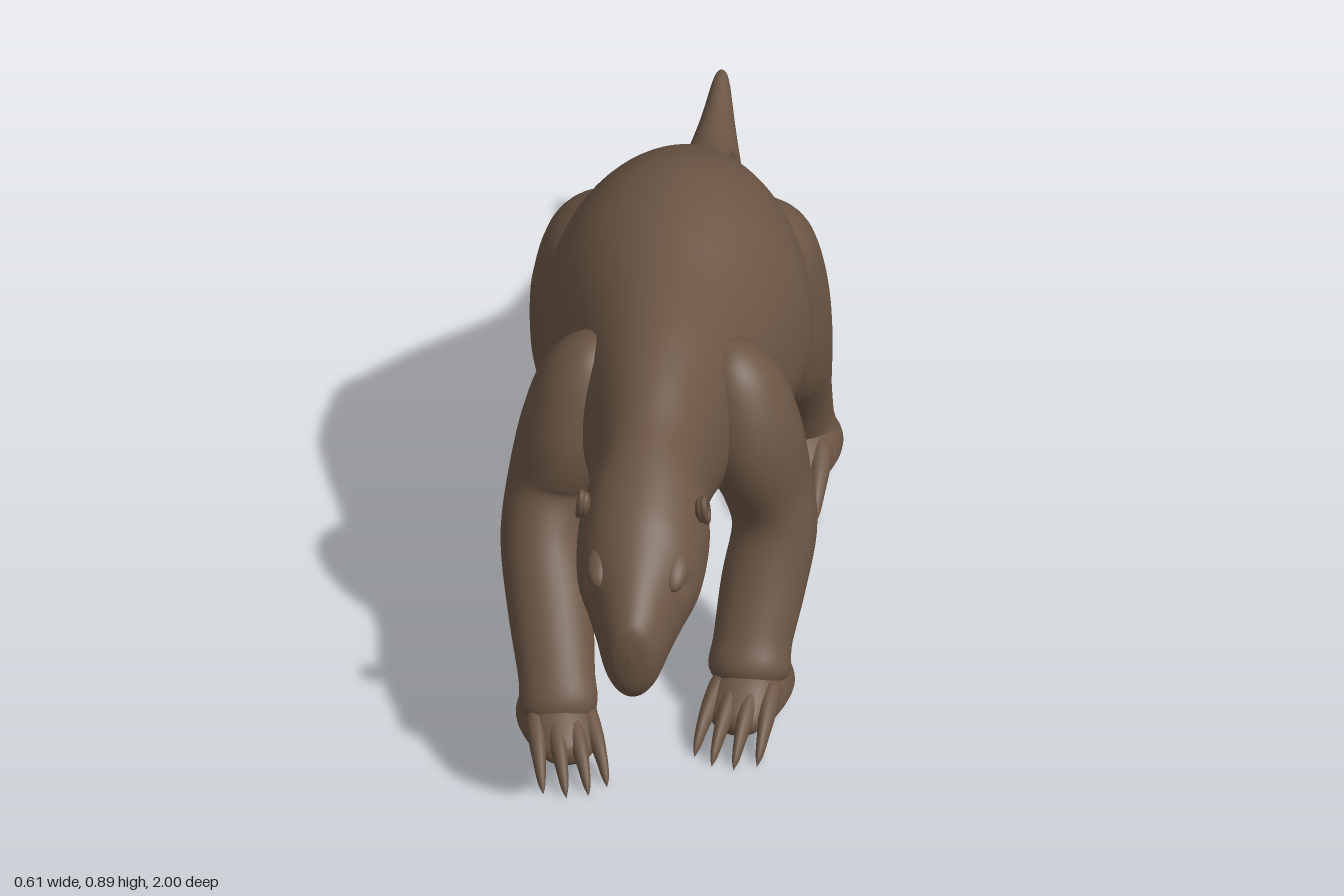
import * as THREE from 'three';

// Smoothly interpolate rows of numbers (uniform Catmull-Rom)
function sample(rows, t) {
  const n = rows.length - 1, f = Math.min(t * n, n - 1e-6), i = Math.floor(f), u = f - i;
  const at = k => rows[Math.max(0, Math.min(n, k))];
  return rows[0].map((_, c) => {
    const [a, b, d, e] = [at(i - 1)[c], at(i)[c], at(i + 1)[c], at(i + 2)[c]];
    return b + 0.5 * u * (d - a + u * (2 * a - 5 * b + 4 * d - e + u * (3 * (b - d) + e - a)));
  });
}

// Closed skin over rings; point(t, angle) gives a Vector3
function loft(steps, sides, point) {
  const pos = [], idx = [];
  for (let i = 0; i <= steps; i++)
    for (let j = 0; j < sides; j++) {
      pos.push(...point(i / steps, (j / sides) * Math.PI * 2).toArray());
      if (i === steps) continue;
      const a = i * sides + j, b = i * sides + (j + 1) % sides;
      idx.push(a, b, b + sides, a, b + sides, a + sides);
    }
  const g = new THREE.BufferGeometry();
  g.setAttribute('position', new THREE.Float32BufferAttribute(pos, 3));
  g.setIndex(idx);
  g.computeVertexNormals();
  return g;
}

// Rows along z: [z, top, bottom, half width, height of widest point 0..1]
function hull(rows, steps, sides, dents = []) {
  return loft(steps, sides, (t, a) => {
    const [z, top, bot, w, f] = sample(rows, t);
    const mid = bot + f * (top - bot), s = Math.sin(a);
    const p = new THREE.Vector3(Math.max(w, 0) * Math.cos(a), mid + s * (s > 0 ? top - mid : mid - bot), z);
    for (const [side, y, dz, r, depth] of dents) {
      if (p.x * side <= 0) continue;
      const d = Math.hypot(p.y - y, p.z - dz) / r;
      p.x -= side * depth * Math.exp(-(d ** 4));
    }
    return p;
  });
}

// Rows along a path: [x, y, z, radius across, radius fore-aft]
function limb(rows, steps = 48, sides = 32) {
  return loft(steps, sides, (t, a) => {
    const [x, y, z, rx, rz] = sample(rows, t);
    const p = sample(rows, Math.max(0, t - 0.02)), q = sample(rows, Math.min(1, t + 0.02));
    const T = new THREE.Vector3(q[0] - p[0], q[1] - p[1], q[2] - p[2]).normalize();
    const X = new THREE.Vector3(1, 0, 0).addScaledVector(T, -T.x).normalize();
    const B = T.clone().cross(X);
    return new THREE.Vector3(x, y, z)
      .addScaledVector(X, Math.max(rx, 0) * Math.cos(a))
      .addScaledVector(B, Math.max(rz, 0) * Math.sin(a));
  });
}

export function createModel() {
  const model = new THREE.Group();
  model.name = 'groundSloth';
  const fur = new THREE.MeshStandardMaterial({ color: 0x6b5544 });
  fur.name = 'brownFur';
  const add = (parent, name, geo) => {
    const m = new THREE.Mesh(geo, fur);
    m.name = name;
    parent.add(m);
    return m;
  };

  // Tail, trunk, neck and head in one skin, with a tail pit and eye sockets
  const body = [
    [-1, 0.488, 0.482, 0, 0.5], [-0.985, 0.495, 0.455, 0.015, 0.5], [-0.9, 0.475, 0.375, 0.035, 0.5],
    [-0.8, 0.475, 0.335, 0.055, 0.5], [-0.7, 0.5, 0.325, 0.076, 0.5], [-0.6, 0.54, 0.33, 0.092, 0.5],
    [-0.5, 0.62, 0.345, 0.115, 0.48], [-0.4, 0.71, 0.36, 0.14, 0.48], [-0.3, 0.79, 0.36, 0.172, 0.48],
    [-0.2, 0.85, 0.34, 0.22, 0.46], [-0.1, 0.888, 0.315, 0.255, 0.43], [0, 0.895, 0.305, 0.265, 0.42],
    [0.1, 0.88, 0.31, 0.245, 0.42], [0.2, 0.857, 0.33, 0.215, 0.43], [0.3, 0.842, 0.36, 0.185, 0.45],
    [0.4, 0.825, 0.395, 0.155, 0.45], [0.5, 0.795, 0.42, 0.13, 0.45], [0.6, 0.755, 0.43, 0.115, 0.45],
    [0.7, 0.722, 0.42, 0.128, 0.42], [0.8, 0.675, 0.395, 0.122, 0.45], [0.86, 0.63, 0.375, 0.1, 0.52],
    [0.91, 0.59, 0.358, 0.078, 0.52], [0.96, 0.548, 0.348, 0.06, 0.55], [0.99, 0.515, 0.38, 0.038, 0.55],
    [1, 0.46, 0.45, 0, 0.5],
  ];
  add(model, 'body', hull(body, 240, 72, [
    [1, 0.42, -0.74, 0.038, 0.045],
    [1, 0.545, 0.86, 0.02, 0.008], [-1, 0.545, 0.86, 0.02, 0.008],
  ]));

  // Ears with a raised rim, and brow ridges
  for (const s of [1, -1]) {
    const ear = new THREE.Group();
    ear.name = s > 0 ? 'leftEar' : 'rightEar';
    ear.position.set(s * 0.114, 0.635, 0.73);
    ear.rotation.set(0.35, 0, s * 0.12);
    add(ear, 'earLobe', new THREE.SphereGeometry(1, 20, 14)).scale.set(0.012, 0.03, 0.022);
    const rim = add(ear, 'earRim', new THREE.TorusGeometry(0.022, 0.007, 10, 28));
    rim.rotation.y = Math.PI / 2;
    rim.scale.set(0.8, 1.25, 1);
    rim.position.x = s * 0.008;
    model.add(ear);
    const brow = add(model, s > 0 ? 'leftBrow' : 'rightBrow', new THREE.SphereGeometry(1, 20, 14));
    brow.position.set(s * 0.072, 0.575, 0.85);
    brow.rotation.x = 0.5;
    brow.scale.set(0.027, 0.022, 0.05);
  }

  // Legs, each in its own stride position
  const legs = {
    leftFrontLeg: [
      [0.12, 0.76, 0.33, 0, 0], [0.13, 0.73, 0.33, 0.05, 0.06], [0.15, 0.66, 0.33, 0.088, 0.1],
      [0.175, 0.55, 0.33, 0.1, 0.125], [0.205, 0.43, 0.315, 0.088, 0.112], [0.222, 0.34, 0.335, 0.083, 0.092],
      [0.205, 0.24, 0.39, 0.083, 0.08], [0.19, 0.15, 0.45, 0.077, 0.07], [0.185, 0.09, 0.49, 0.075, 0.065],
      [0.185, 0.05, 0.51, 0, 0],
    ],
    rightFrontLeg: [
      [-0.12, 0.76, 0.33, 0, 0], [-0.13, 0.73, 0.33, 0.05, 0.06], [-0.15, 0.66, 0.33, 0.088, 0.1],
      [-0.175, 0.55, 0.335, 0.1, 0.125], [-0.21, 0.43, 0.35, 0.088, 0.11], [-0.222, 0.34, 0.42, 0.083, 0.087],
      [-0.2, 0.24, 0.51, 0.083, 0.075], [-0.18, 0.15, 0.6, 0.075, 0.06], [-0.17, 0.09, 0.65, 0.07, 0.05],
      [-0.165, 0.05, 0.68, 0, 0],
    ],
    leftHindLeg: [
      [0.12, 0.75, -0.13, 0, 0], [0.13, 0.72, -0.14, 0.06, 0.07], [0.15, 0.64, -0.16, 0.105, 0.13],
      [0.18, 0.52, -0.19, 0.1, 0.15], [0.197, 0.4, -0.22, 0.088, 0.13], [0.2, 0.31, -0.27, 0.08, 0.1],
      [0.2, 0.22, -0.325, 0.074, 0.085], [0.2, 0.13, -0.365, 0.074, 0.078], [0.2, 0.07, -0.37, 0.078, 0.076],
      [0.2, 0.03, -0.37, 0, 0],
    ],
    rightHindLeg: [
      [-0.12, 0.75, -0.13, 0, 0], [-0.13, 0.72, -0.14, 0.06, 0.07], [-0.155, 0.64, -0.16, 0.11, 0.13],
      [-0.195, 0.52, -0.185, 0.105, 0.145], [-0.212, 0.4, -0.19, 0.088, 0.125], [-0.205, 0.31, -0.2, 0.08, 0.1],
      [-0.2, 0.22, -0.22, 0.074, 0.085], [-0.2, 0.13, -0.24, 0.074, 0.078], [-0.2, 0.07, -0.25, 0.078, 0.076],
      [-0.2, 0.03, -0.25, 0, 0],
    ],
  };
  for (const [name, rows] of Object.entries(legs)) add(model, name, limb(rows));

  // Paws with curved claws: [name, x, z, yaw, width scale, length scale]
  const paw = hull([
    [-0.1, 0.06, 0.05, 0, 0.4], [-0.094, 0.085, 0.025, 0.04, 0.4], [-0.06, 0.12, 0.015, 0.08, 0.35],
    [0, 0.14, 0.012, 0.092, 0.35], [0.06, 0.125, 0.015, 0.085, 0.35], [0.11, 0.1, 0.02, 0.07, 0.4],
    [0.145, 0.075, 0.028, 0.045, 0.45], [0.155, 0.055, 0.05, 0, 0.5],
  ], 36, 36);
  const feet = [
    ['leftForepaw', 0.192, 0.475, -0.18, 0.85, 0.95], ['rightForepaw', -0.178, 0.615, 0.28, 0.85, 0.9],
    ['leftHindPaw', 0.2, -0.365, -0.1, 1, 0.97], ['rightHindPaw', -0.2, -0.24, 0.1, 1, 0.92],
  ];
  for (const [name, x, z, yaw, sx, sz] of feet) {
    const foot = new THREE.Group();
    foot.name = name;
    foot.position.set(x, 0, z);
    foot.rotation.y = yaw;
    foot.scale.set(sx, 1, sz);
    add(foot, 'paw', paw);
    [-0.066, -0.023, 0.023, 0.066].forEach((c, i) => {
      const back = Math.abs(c) > 0.05 ? 0.025 : 0;
      add(foot, 'claw' + (i + 1), limb([
        [c * 0.85, 0.09, 0.04 - back, 0, 0], [c * 0.9, 0.085, 0.07 - back, 0.022, 0.024],
        [c, 0.07, 0.125 - back, 0.021, 0.022], [c * 1.08, 0.048, 0.175 - back, 0.015, 0.017],
        [c * 1.12, 0.022, 0.215 - back, 0.009, 0.01], [c * 1.12, 0.006, 0.235 - back, 0, 0],
      ], 20, 14));
    });
    model.add(foot);
  }
  return model;
}
